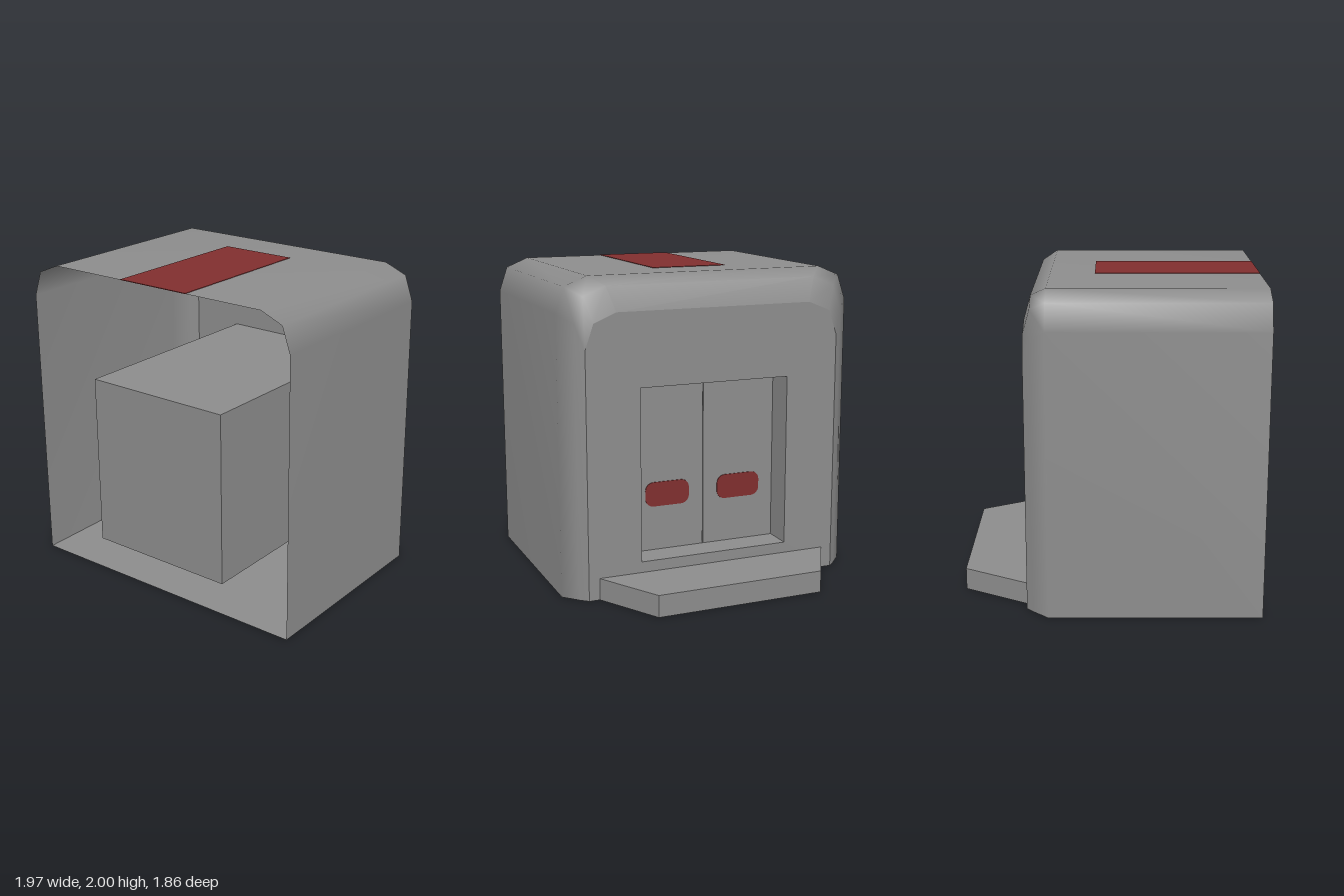
import * as THREE from 'three';

const grey = new THREE.MeshStandardMaterial({ color: 0x8c8c8c, side: THREE.DoubleSide });
grey.name = 'grey';
const red = new THREE.MeshStandardMaterial({ color: 0x802e2e, side: THREE.DoubleSide });
red.name = 'dark red';

// Arch outline with softened top corners, from the right foot over the top to the left foot
function arch(w, h) {
  const half = [[w, 0], [w, h - 0.22], [w - 0.055, h - 0.06], [w - 0.2, h]];
  return [...half, ...half.map(([x, y]) => [-x, y]).reverse()];
}

// Skin between successive arches: [z, half width, height]
function loft(rings) {
  const pos = [], idx = [];
  for (const [z, w, h] of rings) for (const [x, y] of arch(w, h)) pos.push(x, y, z);
  const n = 8;
  for (let r = 0; r < rings.length - 1; r++) {
    for (let i = 0; i < n - 1; i++) {
      const a = r * n + i, b = a + n;
      idx.push(a, b, a + 1, a + 1, b, b + 1);
    }
  }
  const g = new THREE.BufferGeometry();
  g.setAttribute('position', new THREE.Float32BufferAttribute(pos, 3));
  g.setIndex(idx);
  g.computeVertexNormals();
  return g;
}

function polygon(points) {
  return new THREE.Shape(points.map(([x, y]) => new THREE.Vector2(x, y)));
}

function roundedRect(w, h, r) {
  const s = new THREE.Shape();
  s.absarc(w / 2 - r, h / 2 - r, r, 0, Math.PI / 2);
  s.absarc(-w / 2 + r, h / 2 - r, r, Math.PI / 2, Math.PI);
  s.absarc(-w / 2 + r, -h / 2 + r, r, Math.PI, Math.PI * 1.5);
  s.absarc(w / 2 - r, -h / 2 + r, r, Math.PI * 1.5, Math.PI * 2);
  return s;
}

export function createModel() {
  const model = new THREE.Group();
  const add = (name, geometry, material, x = 0, y = 0, z = 0) => {
    const m = new THREE.Mesh(geometry, material);
    m.name = name;
    m.position.set(x, y, z);
    model.add(m);
    return m;
  };
  const front = 0.93, back = -0.52, low = 0.21, high = 1.32;

  // Outer shell, open at the front, bevelled toward the back
  add('outerShell', loft([
    [front, 0.985, 2], [-0.38, 0.985, 2], [-0.475, 0.9, 1.945], [back, 0.85, 1.79],
  ]), grey);

  // Back wall with the rectangular opening
  const wall = polygon(arch(0.85, 1.79));
  wall.holes.push(polygon([[-0.5, low], [-0.5, high], [0.5, high], [0.5, low]]));
  add('backWall', new THREE.ShapeGeometry(wall).rotateY(Math.PI), grey, 0, 0, back);

  // Floor with cut back corners
  const floor = polygon([[-0.985, front], [-0.985, -0.385], [-0.85, back],
    [0.85, back], [0.985, -0.385], [0.985, front]]);
  add('floor', new THREE.ShapeGeometry(floor).rotateX(Math.PI / 2), grey);

  // Tapered step in front of the opening
  const step = polygon([[-0.78, back], [-0.55, -0.93], [0.55, -0.93], [0.78, back]]);
  add('step', new THREE.ExtrudeGeometry(step, { depth: 0.14, bevelEnabled: false })
    .rotateX(Math.PI / 2), grey, 0, 0.14);

  // Inner chamber, with its back face left off
  const chamber = new THREE.BoxGeometry(1, high - low, front - back);
  chamber.setIndex(Array.from(chamber.index.array).slice(0, 30));
  add('innerChamber', chamber, grey, 0, (low + high) / 2, (front + back) / 2);

  // Pair of doors recessed in the opening, each with a red handle patch
  for (const [side, s] of [['left', 1], ['right', -1]]) {
    add(side + 'Door', new THREE.BoxGeometry(0.496, high - low, 0.01), grey,
      s * 0.25, (low + high) / 2, -0.32);
    add(side + 'DoorPatch', new THREE.ExtrudeGeometry(roundedRect(0.3, 0.16, 0.055),
      { depth: 0.005, bevelEnabled: false, curveSegments: 5 }), red, s * 0.25, 0.58, -0.33);
  }

  // Painted stripe on the roof
  add('roofStripe', new THREE.BoxGeometry(0.5, 0.004, 1.03), red, 0, 2.001, 0.415);

  return model;
}
